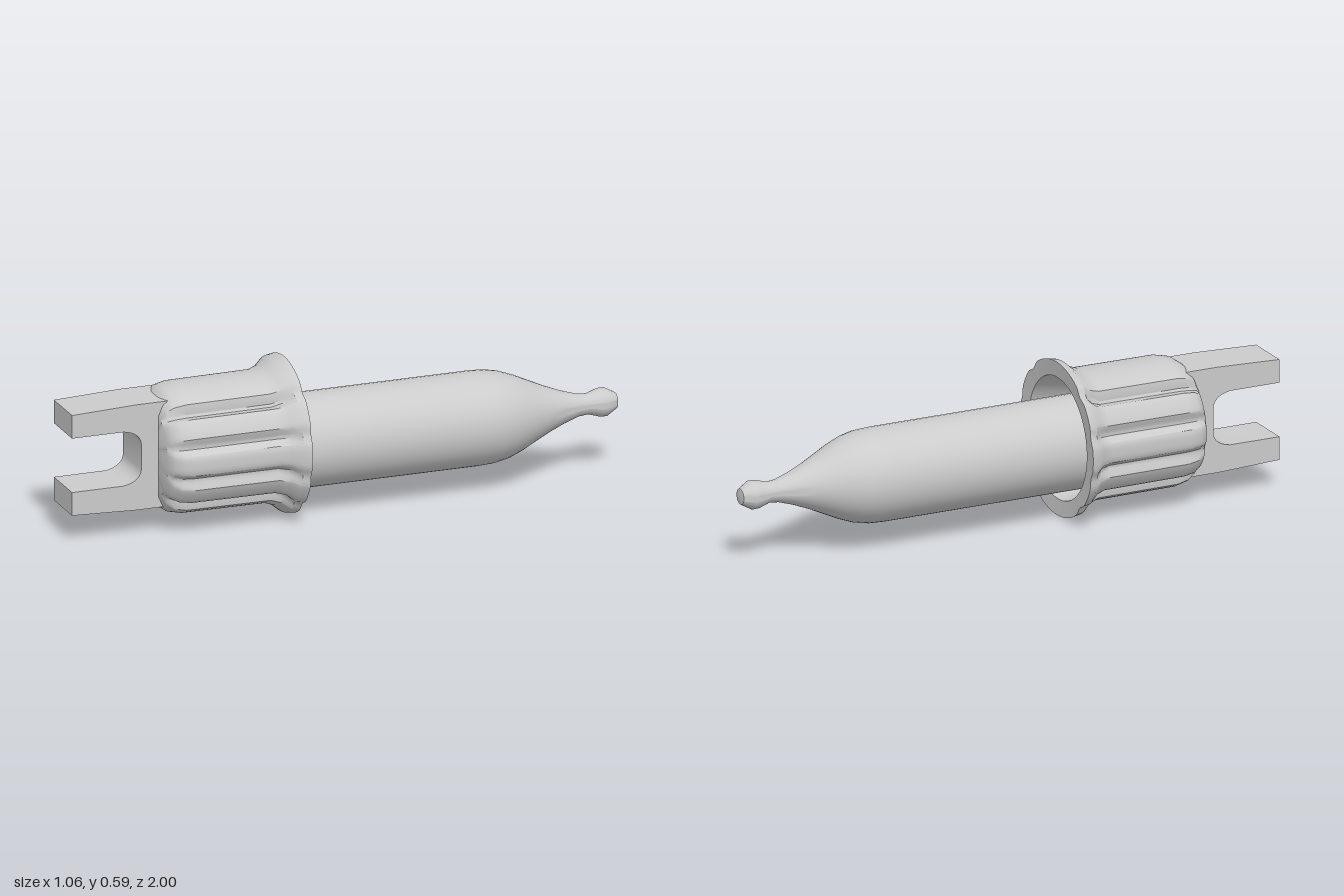
import * as THREE from 'three';
import { mergeVertices, toCreasedNormals } from 'three/addons/utils/BufferGeometryUtils.js';

const material = new THREE.MeshStandardMaterial({ color: 0xcccccc });

function addMesh(parent, name, geometry, x, y) {
  const mesh = new THREE.Mesh(toCreasedNormals(geometry, 0.6), material);
  mesh.name = name;
  mesh.position.set(x, y, 0);
  parent.add(mesh);
}

// Depth (0..1) of the grip grooves: four per side, broad smooth top and bottom.
function groove(angle) {
  const side = Math.asin(Math.abs(Math.sin(angle))) * 180 / Math.PI;
  return [[16, 9, 0.75], [49, 9, 1]].reduce((sum, [centre, half, depth]) => {
    const t = Math.min(1, Math.abs(side - centre) / half);
    return sum + depth * 0.5 * (1 + Math.cos(Math.PI * t));
  }, 0);
}

// Loft of rings [z, radius, groove depth] around the z axis.
function loftRings(rings, sides) {
  const positions = [], index = [];
  for (const [z, radius, depth] of rings) {
    for (let j = 0; j < sides; j++) {
      const a = j / sides * Math.PI * 2;
      const r = radius - depth * groove(a);
      positions.push(r * Math.cos(a), r * Math.sin(a), z);
    }
  }
  for (let i = 0; i < rings.length - 1; i++) {
    for (let j = 0; j < sides; j++) {
      const k = (j + 1) % sides;
      const a = i * sides + j, b = i * sides + k;
      const c = b + sides, d = a + sides;
      if (rings[i][1] > 0) index.push(a, b, c);
      if (rings[i + 1][1] > 0) index.push(a, c, d);
      else if (rings[i][1] > 0) continue;
    }
  }
  const geometry = new THREE.BufferGeometry();
  geometry.setAttribute('position', new THREE.Float32BufferAttribute(positions, 3));
  geometry.setIndex(index);
  return mergeVertices(geometry);
}

export function createModel() {
  const model = new THREE.Group();
  model.name = 'model';
  const tool = new THREE.Group();
  tool.name = 'angledTool';
  tool.rotation.y = -0.44;
  model.add(tool);

  // Round shaft tapering to a narrow neck with a small knob at the end
  const profile = [
    [0, -0.6], [0.177, -0.6], [0.177, 0.55], [0.174, 0.61], [0.163, 0.665],
    [0.142, 0.72], [0.116, 0.775], [0.088, 0.835], [0.062, 0.9], [0.043, 0.96],
    [0.039, 1.0], [0.053, 1.045], [0.054, 1.07], [0.03, 1.112], [0, 1.118]
  ].map(([r, y]) => new THREE.Vector2(r, y));
  const shaft = new THREE.LatheGeometry(profile, 40);
  shaft.rotateX(-Math.PI / 2);
  addMesh(tool, 'shaft', shaft, 0.022, 0.268);

  // Grooved collar with a flared rear flange, hollow around the shaft
  const collar = loftRings([
    [0.36, 0, 0], [0.36, 0.2, 0], [0.19, 0.235, 0],
    [0.185, 0.297, 0.012], [0.215, 0.292, 0.015], [0.25, 0.262, 0.03],
    [0.29, 0.248, 0.036], [0.62, 0.246, 0.036], [0.665, 0.236, 0.03],
    [0.695, 0.215, 0.018], [0.712, 0.18, 0], [0.715, 0, 0]
  ], 120);
  addMesh(tool, 'collar', collar, 0.004, 0.298);

  // Two-pronged fork with a rounded slot
  const outline = new THREE.Shape();
  outline.moveTo(0.6, -0.205);
  outline.lineTo(0.8, -0.205);
  outline.lineTo(1.053, -0.195);
  outline.lineTo(1.053, -0.105);
  outline.lineTo(0.85, -0.105);
  outline.quadraticCurveTo(0.785, -0.095, 0.78, -0.05);
  outline.lineTo(0.78, 0.05);
  outline.quadraticCurveTo(0.785, 0.095, 0.85, 0.105);
  outline.lineTo(1.053, 0.105);
  outline.lineTo(1.053, 0.195);
  outline.lineTo(0.8, 0.205);
  outline.lineTo(0.6, 0.205);
  outline.closePath();
  const fork = new THREE.ExtrudeGeometry(outline, { depth: 0.188, bevelEnabled: false, curveSegments: 8 });
  fork.translate(0, 0, -0.094);
  fork.rotateY(-Math.PI / 2);
  addMesh(tool, 'fork', fork, -0.005, 0.305);

  return model;
}
